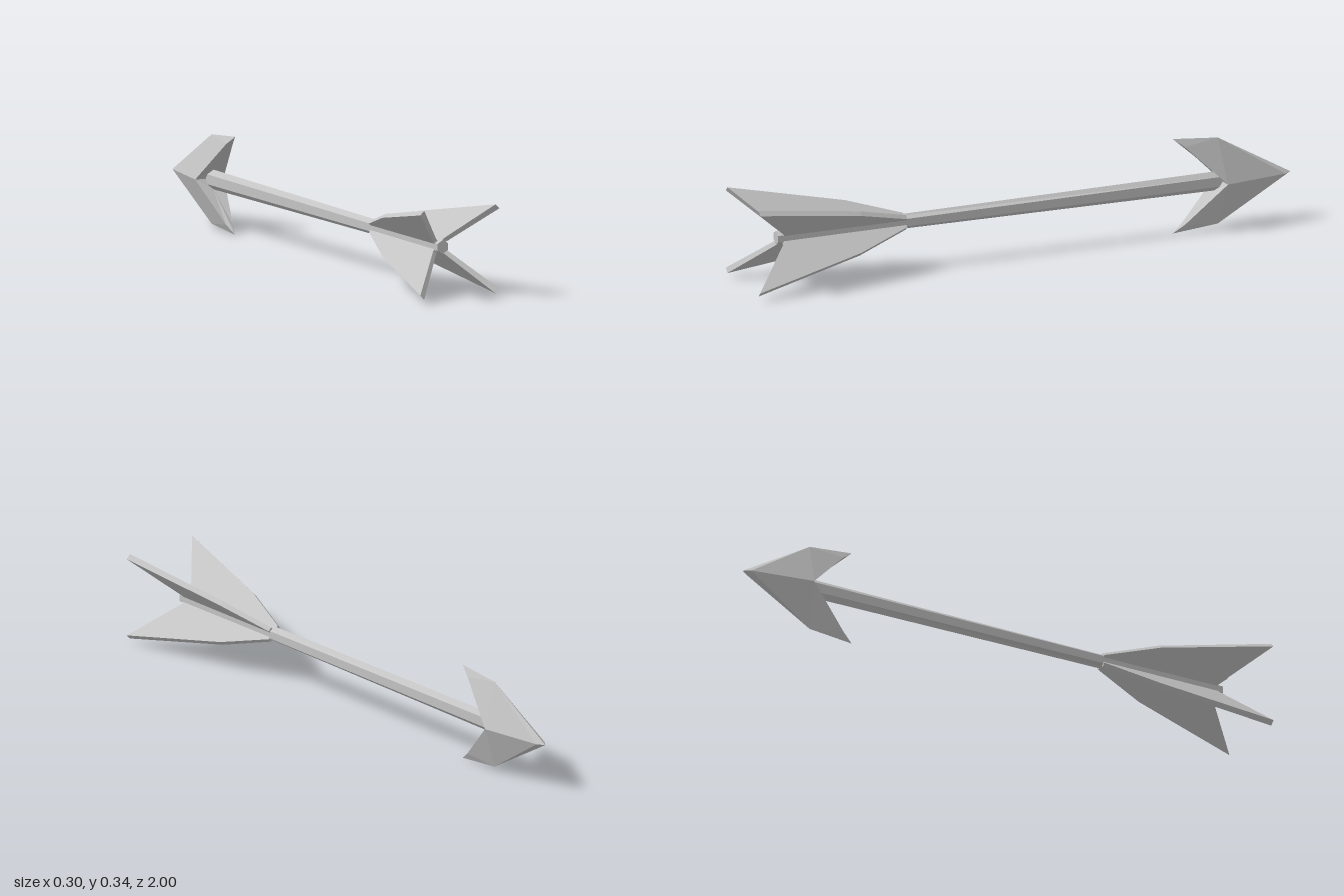
import * as THREE from 'three';

const AXIS_Y = 0.172;

// Six-sided shaft along z, taller and narrower towards the head
function shaftGeometry() {
  const back = 0.88, front = -0.75;
  const geo = new THREE.CylinderGeometry(0.0235, 0.034, back - front, 6);
  geo.rotateX(Math.PI / 2).translate(0, 0, (back + front) / 2);
  const p = geo.attributes.position;
  for (let i = 0; i < p.count; i++) {
    if (p.getZ(i) < 0) p.setX(i, p.getX(i) * 0.56);
  }
  geo.computeVertexNormals();
  return geo;
}

// Swept fin, slightly thicker towards its outer edge
function finGeometry() {
  const outline = [[0.41, 0.015], [0.86, 0.015], [0.86, 0.028], [1, 0.205], [0.6, 0.102], [0.41, 0.028]];
  const shape = new THREE.Shape(outline.map(([z, r]) => new THREE.Vector2(z, r)));
  const geo = new THREE.ExtrudeGeometry(shape, { depth: 1, bevelEnabled: false });
  geo.translate(0, 0, -0.5);
  const p = geo.attributes.position;
  for (let i = 0; i < p.count; i++) {
    p.setZ(i, p.getZ(i) * (0.015 + 0.03 * p.getY(i)));
  }
  geo.rotateY(-Math.PI / 2);
  geo.computeVertexNormals();
  return geo;
}

// Barbed head: one quarter, mirrored across x and y
function headGeometry() {
  const v = {
    tip: [0, 0, -1],
    cheek: [0.018, 0, -0.975],
    wide: [0.055, 0, -0.75],
    ridge: [0, 0.153, -0.735],
    barbSide: [0.013, 0.138, -0.61],
    barbEnd: [0, 0.168, -0.57],
    inner: [0, 0.03, -0.725],
    core: [0, 0, -0.745],
  };
  const faces = [
    ['tip', 'ridge', 'cheek'], ['cheek', 'ridge', 'wide'],
    ['wide', 'ridge', 'barbSide'], ['barbSide', 'ridge', 'barbEnd'],
    ['wide', 'barbSide', 'inner'], ['barbSide', 'barbEnd', 'inner'], ['core', 'wide', 'inner'],
  ];
  const out = [];
  for (const sx of [1, -1]) {
    for (const sy of [1, -1]) {
      for (const face of faces) {
        const corners = sx * sy > 0 ? face : [...face].reverse();
        for (const name of corners) {
          const [x, y, z] = v[name];
          out.push(x * sx, y * sy, z);
        }
      }
    }
  }
  const geo = new THREE.BufferGeometry();
  geo.setAttribute('position', new THREE.Float32BufferAttribute(out, 3));
  geo.computeVertexNormals();
  return geo;
}

export function createModel() {
  const grey = new THREE.MeshStandardMaterial({ color: 0xc4c4c4, flatShading: true });
  grey.name = 'grey';

  const model = new THREE.Group();
  model.name = 'arrow';
  const add = (name, geo) => {
    const mesh = new THREE.Mesh(geo, grey);
    mesh.name = name;
    mesh.position.y = AXIS_Y;
    model.add(mesh);
    return mesh;
  };

  add('shaft', shaftGeometry());
  add('head', headGeometry());

  // Four fins on the diagonals
  const fin = finGeometry();
  for (let i = 0; i < 4; i++) {
    add('fin' + (i + 1), fin).rotation.z = Math.PI / 4 + i * Math.PI / 2;
  }
  return model;
}
